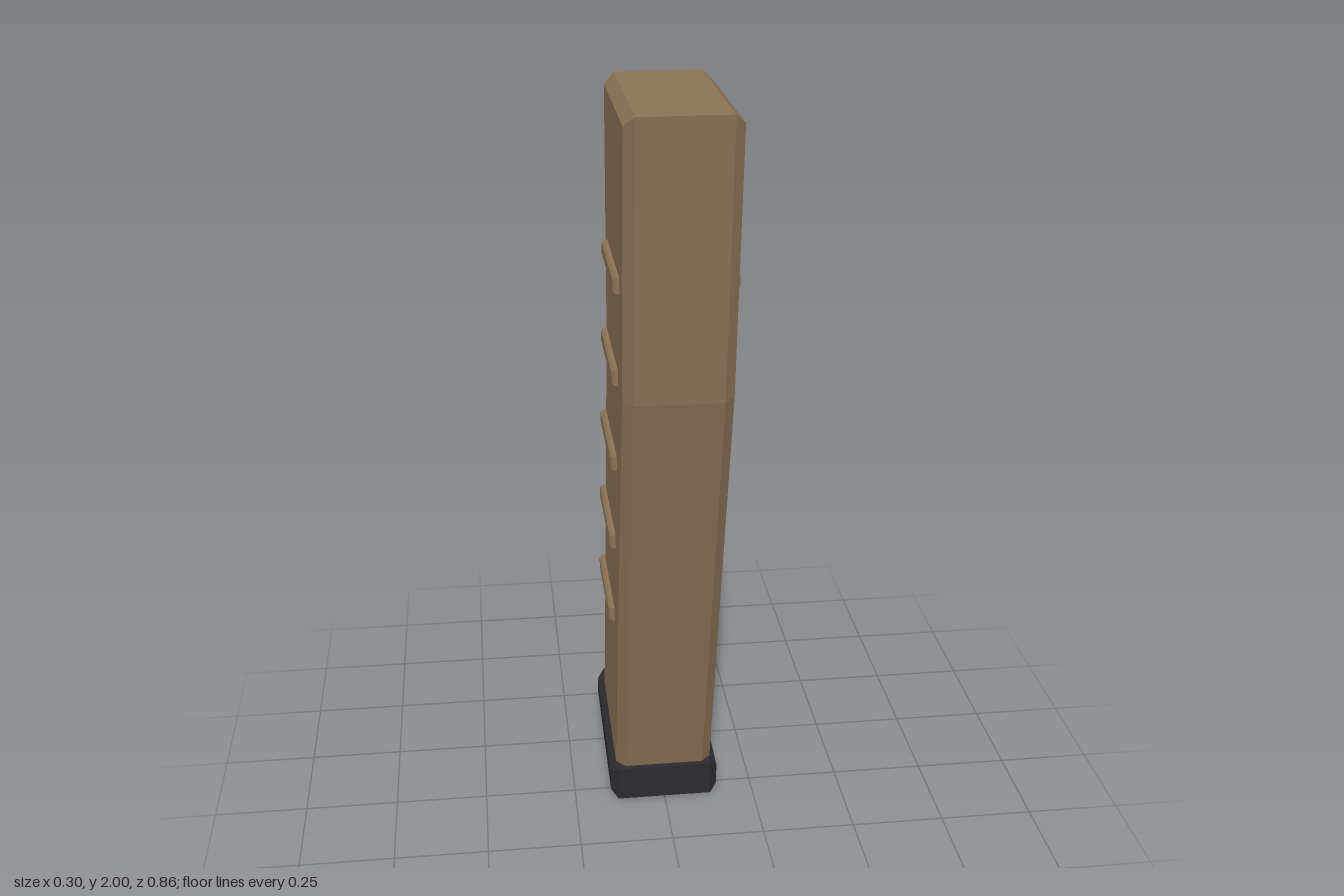
import * as THREE from 'three';

// Extrudes a side profile of [z, y] points across x, with chamfered side edges
function chamferedProfile(points, width, chamfer) {
  const shape = new THREE.Shape(points.map(([z, y]) => new THREE.Vector2(z, y)));
  const depth = width - 2 * chamfer;
  const geometry = new THREE.ExtrudeGeometry(shape, {
    depth,
    bevelEnabled: true,
    bevelSegments: 1,
    bevelSize: chamfer,
    bevelThickness: chamfer,
    bevelOffset: -chamfer,
  });
  geometry.translate(0, 0, -depth / 2);
  geometry.rotateY(-Math.PI / 2);
  return geometry;
}

export function createModel() {
  const model = new THREE.Group();
  model.name = 'curvedMagazine';

  const tan = new THREE.MeshStandardMaterial({ color: 0x8b7355 });
  tan.name = 'tan';
  const charcoal = new THREE.MeshStandardMaterial({ color: 0x2b2b30 });
  charcoal.name = 'charcoal';

  const add = (name, geometry, material) => {
    const mesh = new THREE.Mesh(geometry, material);
    mesh.name = name;
    model.add(mesh);
    return mesh;
  };

  // Curved body, sweeping forward towards the top
  add('body', chamferedProfile([
    [0.43, 2], [0.35, 1.31], [0.18, 0.655], [0.027, 0.05],
    [-0.395, 0.085], [-0.243, 0.74], [-0.116, 1.36], [-0.087, 2],
  ], 0.266, 0.025), tan);

  // Tilted base plate
  add('basePlate', chamferedProfile([
    [0.055, 0], [0.053, 0.096], [-0.43, 0.132], [-0.43, 0.048],
  ], 0.3, 0.02), charcoal);

  // Five grip ribs on each side, following the curve
  const ribGeometry = chamferedProfile([
    [0.157, -0.019], [0.157, 0.019], [-0.157, 0.019], [-0.157, -0.019],
  ], 0.032, 0.006);
  for (let i = 0; i < 5; i++) {
    for (const side of [-1, 1]) {
      const rib = add(side > 0 ? 'leftRib' : 'rightRib', ribGeometry, tan);
      rib.position.set(side * 0.132, 0.585 + i * 0.25, -0.12 + i * 0.063);
    }
  }

  return model;
}
